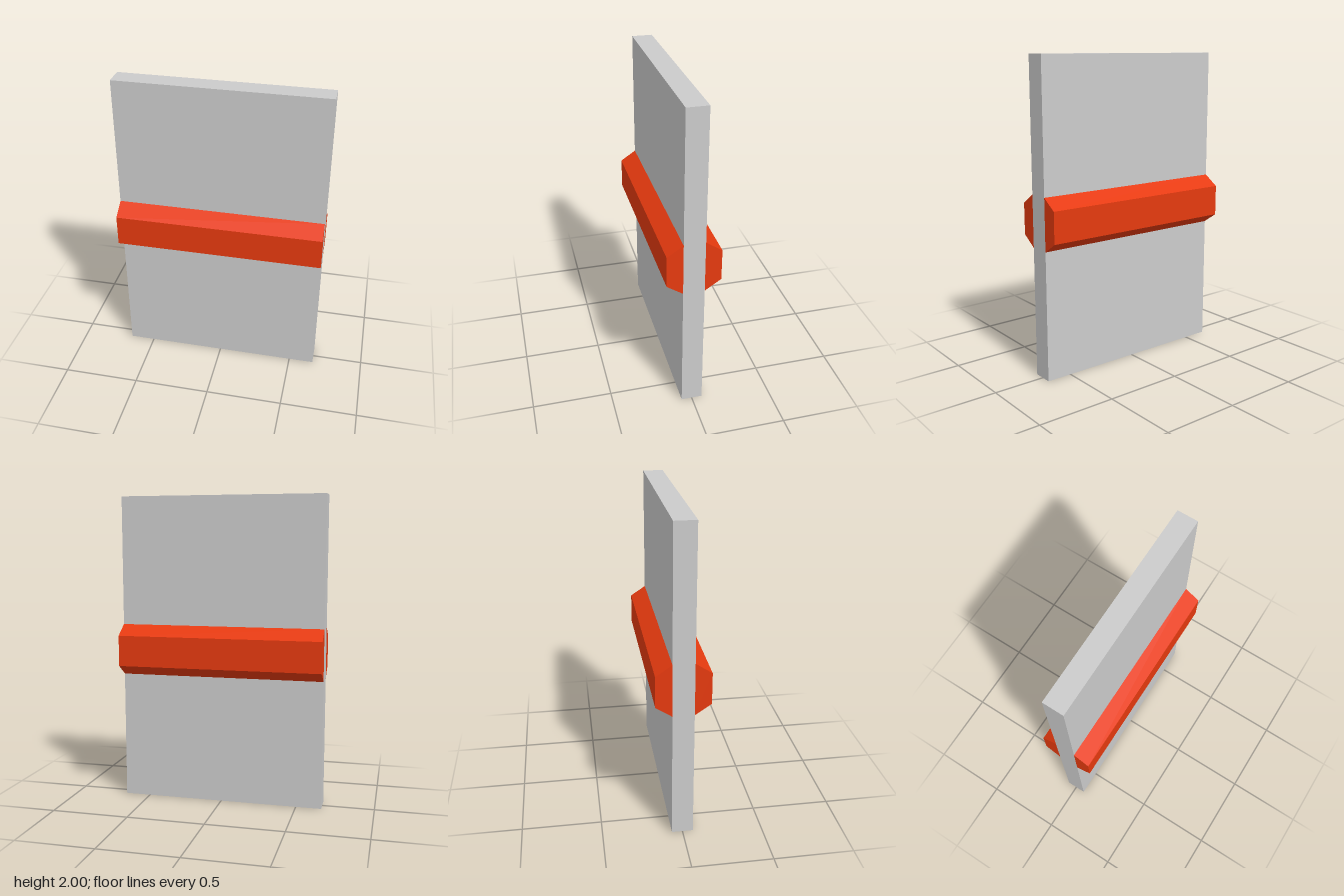
import * as THREE from 'three';

const WIDTH = 1.33, HEIGHT = 2, DEPTH = 0.133;

export function createModel() {
  const model = new THREE.Group();
  const grey = new THREE.MeshStandardMaterial({ color: 0xcccccc, flatShading: true });
  const orange = new THREE.MeshStandardMaterial({ color: 0xe63a0f, flatShading: true });

  // Upright slab
  const panel = new THREE.Mesh(new THREE.BoxGeometry(WIDTH, HEIGHT, DEPTH), grey);
  panel.name = 'panel';
  panel.position.y = HEIGHT / 2;
  model.add(panel);

  // Trapezoid profile: wide against the panel, narrower outside
  const inner = DEPTH / 2, outer = 0.167;
  const profile = new THREE.Shape([
    new THREE.Vector2(inner, -0.167),
    new THREE.Vector2(outer, -0.1),
    new THREE.Vector2(outer, 0.1),
    new THREE.Vector2(inner, 0.167),
  ]);
  const railGeometry = new THREE.ExtrudeGeometry(profile, { depth: WIDTH, bevelEnabled: false });
  railGeometry.translate(0, 0, -WIDTH / 2);

  // One rail across each face of the panel
  for (const [name, turn] of [['frontRail', -Math.PI / 2], ['backRail', Math.PI / 2]]) {
    const rail = new THREE.Mesh(railGeometry, orange);
    rail.name = name;
    rail.position.y = HEIGHT / 2;
    rail.rotation.y = turn;
    model.add(rail);
  }

  return model;
}
